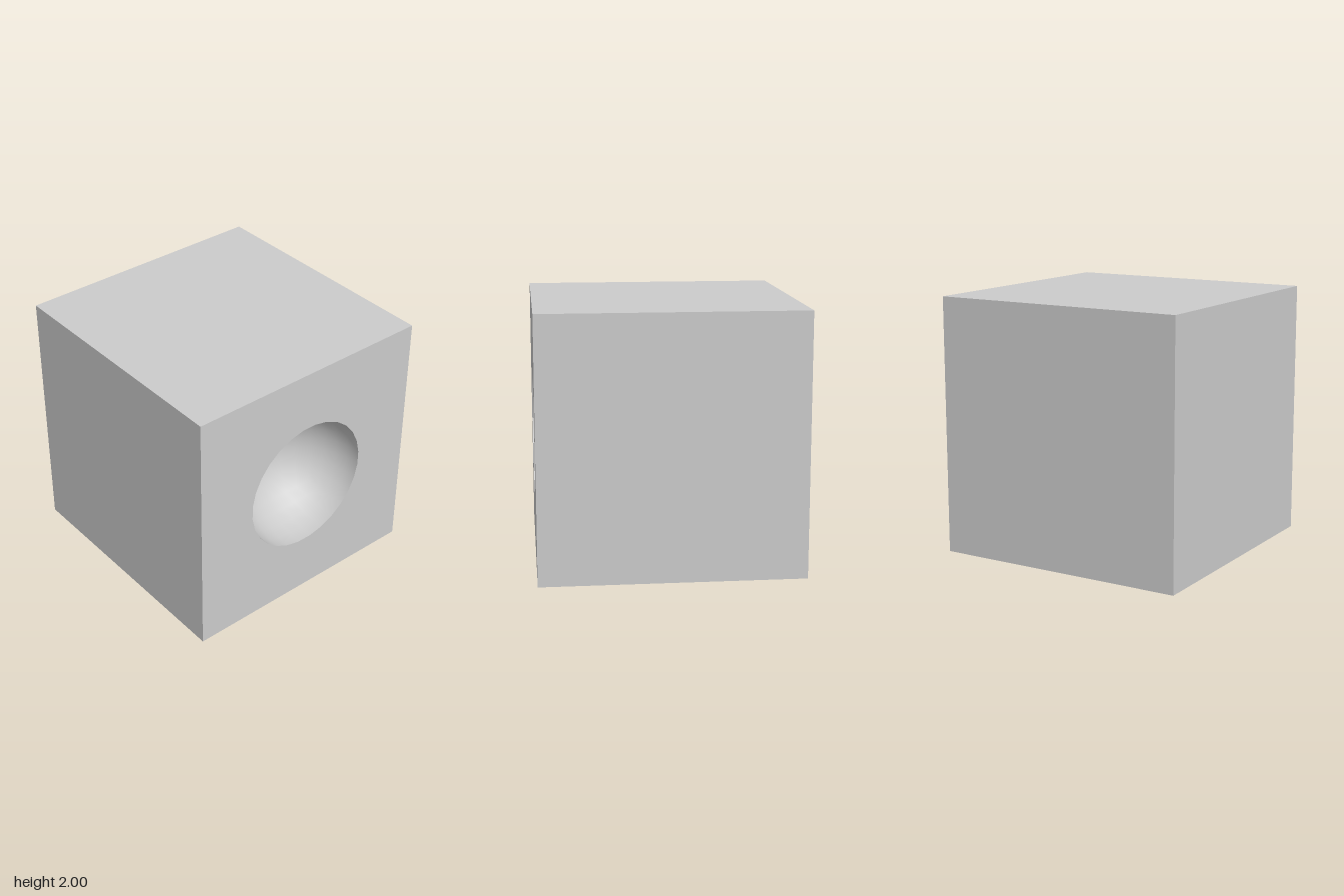
import * as THREE from 'three';

const HALF = 1;      // half the cube's edge
const RADIUS = 0.53; // radius of the round hollow
const SEG = 7;       // hollow grid cells per quarter turn

// Box without its +z side
function openBox(size, sx, sy, sz) {
  const geo = new THREE.BoxGeometry(size, size, size, sx, sy, sz);
  const front = geo.groups[4];
  const index = Array.from(geo.index.array);
  index.splice(front.start, front.count);
  geo.setIndex(index);
  geo.clearGroups();
  return geo;
}

// Half sphere made from an open box grid, facing inwards
function hollowGeometry() {
  const geo = openBox(2, SEG, SEG, 4);
  const pos = geo.attributes.position;
  const nor = geo.attributes.normal;
  const bend = (t) => Math.tan((t * Math.PI) / 4);
  const p = new THREE.Vector3();
  for (let i = 0; i < pos.count; i++) {
    p.set(bend(pos.getX(i)), bend(pos.getY(i)), bend((pos.getZ(i) - 1) / 2)).normalize();
    nor.setXYZ(i, -p.x, -p.y, -p.z);
    pos.setXYZ(i, p.x * RADIUS, p.y * RADIUS, p.z * RADIUS);
  }
  geo.setIndex(Array.from(geo.index.array).reverse());
  return geo;
}

// Square panel with a round opening that matches the hollow's rim
function frontGeometry() {
  const square = [[-1, -1], [1, -1], [1, 1], [-1, 1]];
  const shape = new THREE.Shape(square.map(([x, y]) => new THREE.Vector2(x * HALF, y * HALF)));
  const rim = [];
  for (let i = 0; i < SEG * 4; i++) {
    const a = Math.PI / 4 - (i * Math.PI) / (SEG * 2);
    rim.push(new THREE.Vector2(Math.cos(a) * RADIUS, Math.sin(a) * RADIUS));
  }
  shape.holes.push(new THREE.Path(rim));
  return new THREE.ShapeGeometry(shape);
}

export function createModel() {
  const group = new THREE.Group();
  group.name = 'hollowedCube';
  const material = new THREE.MeshStandardMaterial({ color: 0xcccccc });

  const add = (name, geometry, z) => {
    const mesh = new THREE.Mesh(geometry, material);
    mesh.name = name;
    mesh.position.set(0, HALF, z);
    group.add(mesh);
  };

  add('cubeSides', openBox(HALF * 2, 1, 1, 1), 0);
  add('frontPanel', frontGeometry(), HALF);
  add('roundHollow', hollowGeometry(), HALF);
  return group;
}
